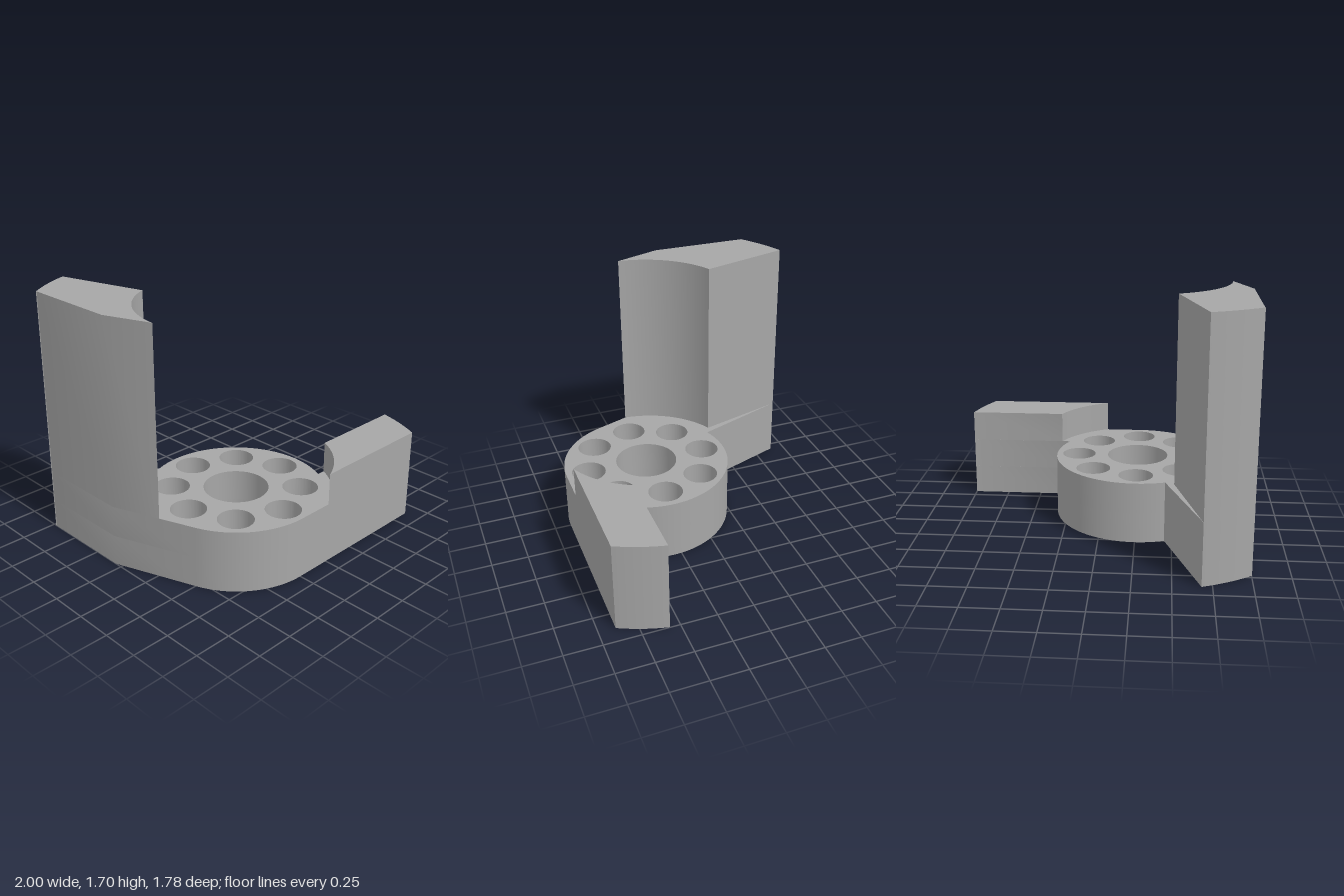
import * as THREE from 'three';
import { toCreasedNormals } from 'three/addons/utils/BufferGeometryUtils.js';

// Plan layout, shape coordinates are (x, z)
const CX = -0.249, CZ = 0.304;
const HUB_R = 0.584, INNER_R = 0.636, OUTER_R = 1.275;
const BASE_TOP = 0.425, BORE_FLOOR = 0.21;

const angleTo = (x, z) => Math.atan2(z - CZ, x - CX);

// Arc about the hub centre, between the bearings of two points
function hubArc(shape, radius, from, to, clockwise = false) {
  shape.absarc(CX, CZ, radius, angleTo(...from), angleTo(...to), clockwise);
}

// Corner points of the two arms
const armA = [1, 0.57], armB = [0.885, 0.888];
const finA = [-1, -0.72], finB = [-0.68, -0.89];
const finSide = [-1, -0.051], tangent = [-0.798, 0.504];

function baseOutline() {
  const s = new THREE.Shape();
  s.moveTo(0.271, 0.57);
  s.lineTo(...armA);
  hubArc(s, OUTER_R, armA, armB);
  s.lineTo(CX, CZ + HUB_R);
  hubArc(s, HUB_R, [CX, CZ + 1], tangent);
  s.lineTo(...finSide);
  s.lineTo(...finA);
  hubArc(s, OUTER_R, finA, finB);
  s.lineTo(-0.45, -0.245);
  hubArc(s, HUB_R, [-0.45, -0.245], [0.271, 0.57]);
  return s;
}

function addHole(shape, x, z, radius) {
  const hole = new THREE.Path();
  hole.absarc(x, z, radius, 0, Math.PI * 2, true);
  shape.holes.push(hole);
}

// Base outline with the centre bore and a ring of eight bolt holes
function drilledBase(boltRadius) {
  const s = baseOutline();
  addHole(s, CX, CZ, 0.215);
  for (let i = 0; i < 8; i++) {
    const a = (i * Math.PI) / 4;
    addHole(s, CX + 0.424 * Math.cos(a), CZ + 0.424 * Math.sin(a), boltRadius);
  }
  return s;
}

// Low block on the front arm, with a concave inner face
function blockOutline() {
  const s = new THREE.Shape();
  s.moveTo(0.33, 0.57);
  s.lineTo(...armA);
  hubArc(s, OUTER_R, armA, armB);
  s.lineTo(0.003, 0.888);
  hubArc(s, INNER_R, [0.003, 0.888], [0.33, 0.57], true);
  return s;
}

// Tall fin on the rear arm, with a concave inner face
function finOutline() {
  const s = new THREE.Shape();
  s.moveTo(-0.884, 0.267);
  s.lineTo(...finSide);
  s.lineTo(...finA);
  hubArc(s, OUTER_R, finA, finB);
  s.lineTo(-0.51, -0.275);
  hubArc(s, INNER_R, [-0.51, -0.275], [-0.884, 0.267], true);
  return s;
}

export function createModel() {
  const group = new THREE.Group();
  group.name = 'bracket';
  const grey = new THREE.MeshStandardMaterial({ color: 0xa6a6a6 });
  grey.name = 'grey';

  // Extrude a plan outline between two heights
  function slab(name, shape, bottom, top) {
    const geo = new THREE.ExtrudeGeometry(shape, {
      depth: top - bottom, bevelEnabled: false, curveSegments: 48,
    });
    geo.rotateX(Math.PI / 2);
    geo.translate(0, top, 0);
    const mesh = new THREE.Mesh(toCreasedNormals(geo, 0.5), grey);
    mesh.name = name;
    group.add(mesh);
  }

  slab('baseLower', drilledBase(0.06), 0, BORE_FLOOR);
  slab('baseCounterbored', drilledBase(0.118), BORE_FLOOR, BASE_TOP);
  slab('frontBlock', blockOutline(), BASE_TOP, 0.64);
  slab('rearFin', finOutline(), BASE_TOP, 1.7);
  return group;
}
